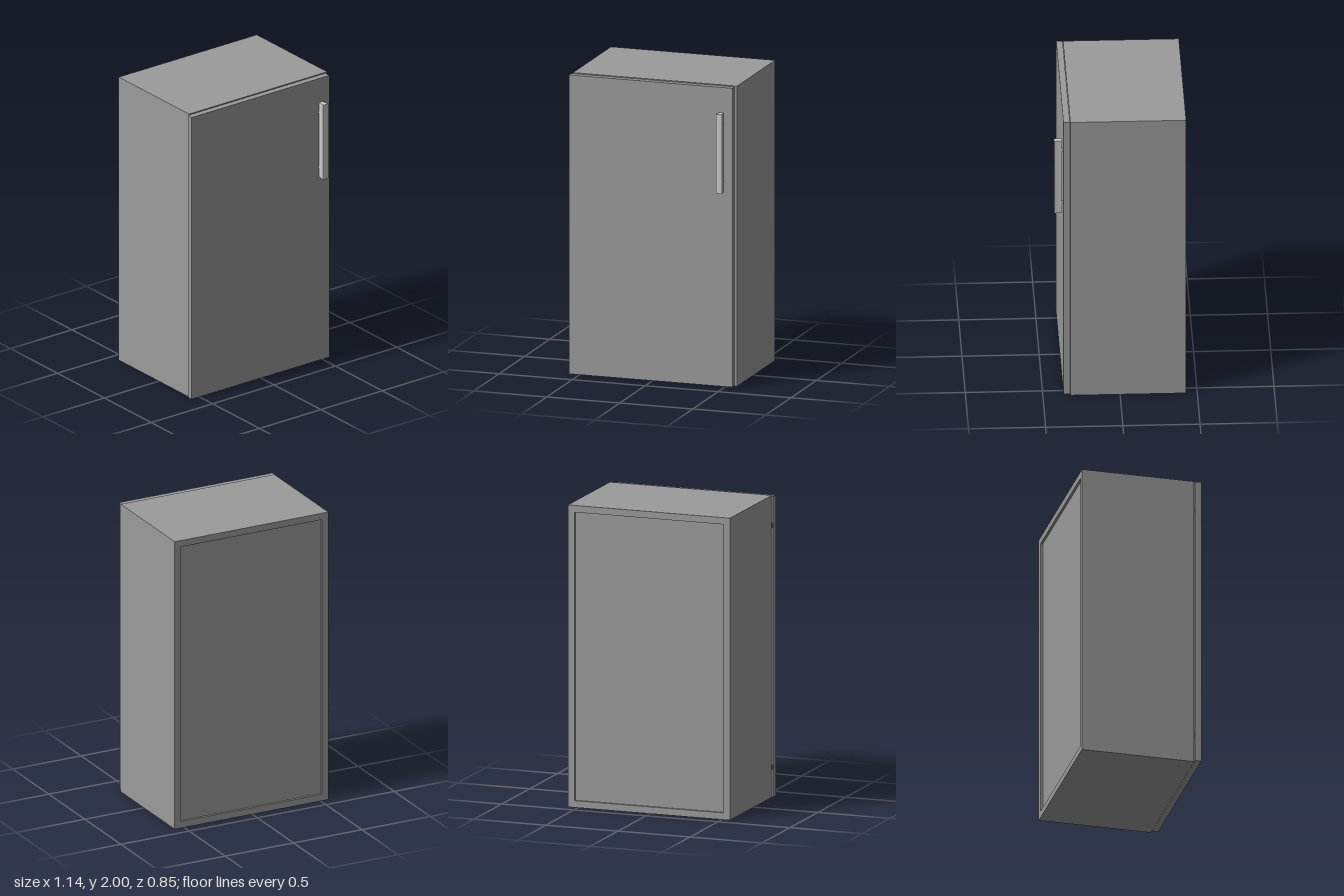
import * as THREE from 'three';
import { toCreasedNormals } from 'three/addons/utils/BufferGeometryUtils.js';

const bodyGrey = new THREE.MeshStandardMaterial({ color: 0x9b9b9b });
const handleGrey = new THREE.MeshStandardMaterial({ color: 0xcccccc });
const hingeGrey = new THREE.MeshStandardMaterial({ color: 0x444444 });

// Box given by its min and max corners
function box(parent, name, material, [x0, y0, z0], [x1, y1, z1]) {
  const mesh = new THREE.Mesh(new THREE.BoxGeometry(x1 - x0, y1 - y0, z1 - z0), material);
  mesh.position.set((x0 + x1) / 2, (y0 + y1) / 2, (z0 + z1) / 2);
  mesh.name = name;
  parent.add(mesh);
}

export function createModel() {
  const model = new THREE.Group();
  model.name = 'cabinet';

  // Carcass: hollow box of boards with a recessed back panel
  const L = -0.556, R = 0.568, B = -0.428, F = 0.322, T = 0.045;
  const carcass = new THREE.Group();
  carcass.name = 'carcass';
  model.add(carcass);
  box(carcass, 'rightSide', bodyGrey, [L, 0, B], [L + T, 2, F]);
  box(carcass, 'leftSide', bodyGrey, [R - T, 0, B], [R, 2, F]);
  box(carcass, 'bottomBoard', bodyGrey, [L + T, 0, B], [R - T, T, F]);
  box(carcass, 'topBoard', bodyGrey, [L + T, 2 - T, B], [R - T, 2, F]);
  box(carcass, 'backPanel', bodyGrey, [L + T, T, B + 0.016], [R - T, 2 - T, B + 0.03]);

  // Door, set a hair off the carcass
  const doorBack = 0.3245, doorFront = 0.366;
  box(model, 'door', bodyGrey, [-0.568, 0.003, doorBack], [0.552, 1.994, doorFront]);

  // Hinges in the gap between carcass and door
  for (const y of [0.2, 1.8])
    box(model, 'hinge', hingeGrey, [L - 0.002, y - 0.018, F - 0.005], [L + 0.06, y + 0.018, doorBack + 0.001]);

  // Handle: gently flared bar with concave sides and a slightly bowed front
  const handle = new THREE.Group();
  handle.name = 'handle';
  handle.position.set(0.479, 0, 0);
  model.add(handle);
  const profile = new THREE.Shape();
  profile.moveTo(-0.0145, -0.373);
  profile.quadraticCurveTo(-0.0155, -0.4, -0.022, -0.422);
  profile.quadraticCurveTo(0, -0.428, 0.022, -0.422);
  profile.quadraticCurveTo(0.0155, -0.4, 0.0145, -0.373);
  profile.closePath();

  // Long middle piece with a short piece at each end
  for (const [name, y0, y1] of [
    ['handleLowerEnd', 1.3, 1.325],
    ['handleBar', 1.325, 1.803],
    ['handleUpperEnd', 1.803, 1.828],
  ]) {
    const geometry = new THREE.ExtrudeGeometry(profile, { depth: y1 - y0, bevelEnabled: false, curveSegments: 14 });
    const piece = new THREE.Mesh(toCreasedNormals(geometry.rotateX(-Math.PI / 2), 0.6), handleGrey);
    piece.position.y = y0;
    piece.name = name;
    handle.add(piece);
  }

  // Flat pegs joining the bar to the door
  for (const y of [1.37, 1.757])
    box(handle, 'handlePeg', handleGrey, [-0.0145, y - 0.006, doorFront - 0.002], [0.0145, y + 0.006, 0.375]);

  return model;
}
